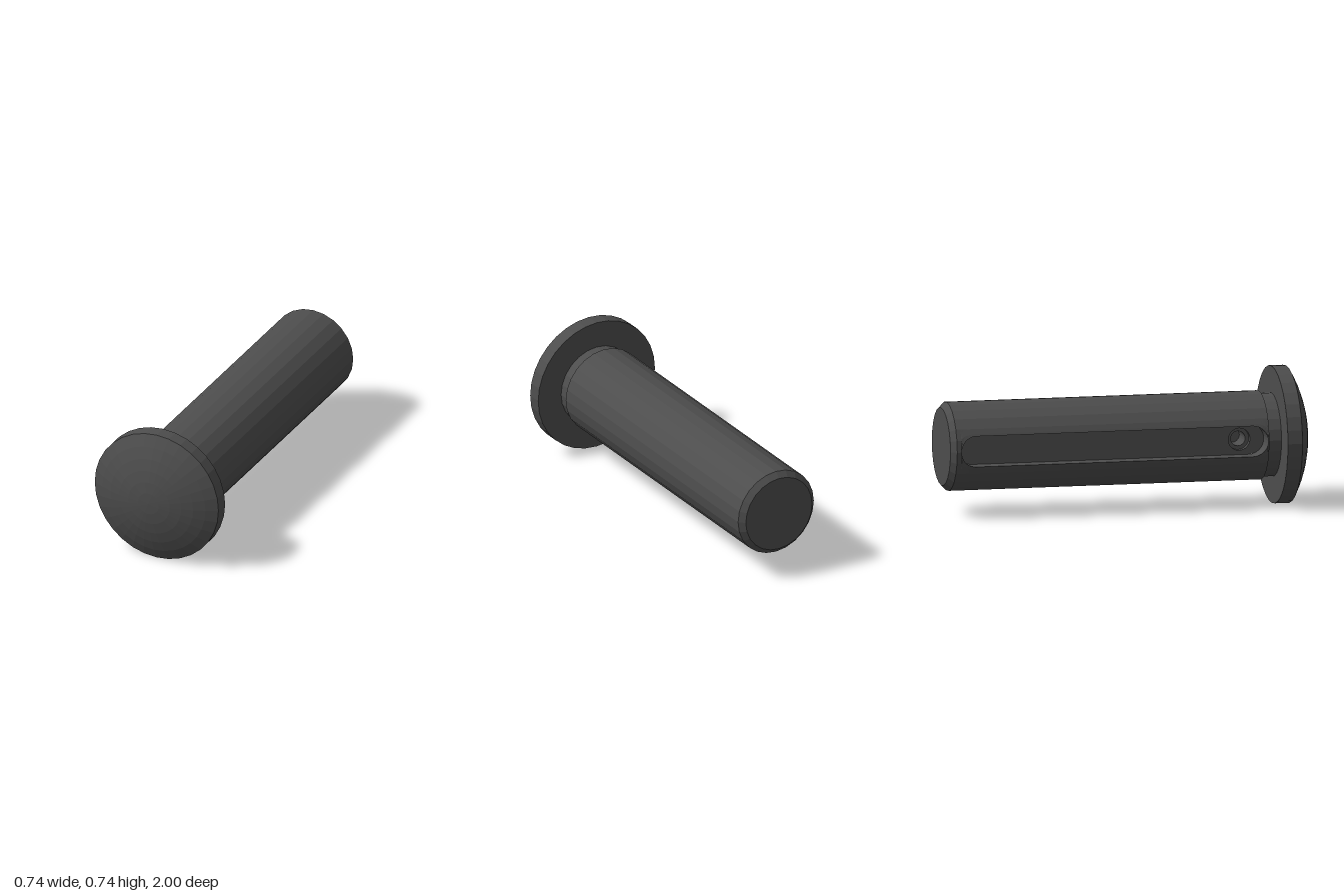
import * as THREE from 'three';

const R = 0.24;        // shank radius
const HEAD_R = 0.37;   // head radius, also the axis height
const SLOT = { back: -0.945, front: 0.745, half: 0.083, floorX: -0.13 };
const HOLE = { z: 0.61, outer: 0.06, inner: 0.04 };

const material = new THREE.MeshStandardMaterial({ color: 0x4d4d4d, flatShading: true });
const openMaterial = material.clone();
openMaterial.side = THREE.DoubleSide;

function addPart(group, name, geometry, mat = material) {
  const flat = geometry.index ? geometry.toNonIndexed() : geometry;
  flat.computeVertexNormals();
  const mesh = new THREE.Mesh(flat, mat);
  mesh.name = name;
  group.add(mesh);
}

// Turned part along z from [radius, z] pairs
function turned(profile, segments) {
  const points = profile.map(([r, z]) => new THREE.Vector2(r, z));
  return new THREE.LatheGeometry(points, segments).rotateX(Math.PI / 2);
}

// Half width of the round-ended slot at a given z
function slotHalf(z) {
  const h = SLOT.half;
  const past = Math.max(SLOT.back + h - z, z - (SLOT.front - h), 0);
  return past >= h ? 0 : Math.sqrt(h * h - past * past);
}

// Cross-section: slot wall, lip, round the shank, lip, slot wall
function shankSection(z) {
  const h = slotHalf(z);
  const lip = Math.asin(h / R);
  const deg = Math.PI / 180;
  const angles = [lip, 15 * deg + lip * 0.4];
  for (let a = 30; a <= 330; a += 15) angles.push(a * deg);
  angles.push(2 * Math.PI - angles[1], 2 * Math.PI - lip);
  const ring = angles.map((t) => [-R * Math.cos(t), R * Math.sin(t), z]);
  return [[SLOT.floorX, h, z], ...ring, [SLOT.floorX, -h, z]];
}

function shankGeometry() {
  const zs = [-0.97];
  const steps = 8;
  for (let i = 0; i <= steps; i++) {
    zs.push(SLOT.back + SLOT.half * (1 - Math.cos((i / steps) * Math.PI / 2)));
  }
  for (let i = 0; i <= steps; i++) {
    zs.push(SLOT.front - SLOT.half * (1 - Math.sin((i / steps) * Math.PI / 2)));
  }
  // Exact closing of the slot ends
  zs[1] = SLOT.back;
  zs[zs.length - 1] = SLOT.front;
  zs.push(0.75);

  const sections = zs.map(shankSection);
  const n = sections[0].length;
  const index = [];
  for (let j = 0; j < zs.length - 1; j++) {
    // Solid ends have no slot walls
    const solid = j === 0 || j === zs.length - 2;
    for (let i = solid ? 1 : 0; i < (solid ? n - 2 : n - 1); i++) {
      const a = j * n + i, b = a + 1, c = a + n, d = c + 1;
      index.push(a, c, b, b, c, d);
    }
  }
  const geometry = new THREE.BufferGeometry();
  geometry.setAttribute('position', new THREE.Float32BufferAttribute(sections.flat(2), 3));
  geometry.setIndex(index);
  return geometry;
}

// Flat slot floor with a round hole, facing -x
function slotFloorGeometry() {
  const { back, front, half, floorX } = SLOT;
  const shape = new THREE.Shape();
  shape.absarc(front - half, 0, half, -Math.PI / 2, Math.PI / 2);
  shape.absarc(back + half, 0, half, Math.PI / 2, Math.PI * 1.5);
  shape.closePath();
  const hole = new THREE.Path();
  hole.absarc(HOLE.z, 0, HOLE.outer, 0, Math.PI * 2, true);
  shape.holes.push(hole);
  return new THREE.ShapeGeometry(shape, 10).rotateY(-Math.PI / 2).translate(floorX, 0, 0);
}

// Stepped blind hole going in from the slot floor
function holeGeometry() {
  const profile = [[HOLE.outer, 0], [HOLE.outer, 0.03], [HOLE.inner, 0.03], [HOLE.inner, 0.16], [0, 0.16]];
  const points = profile.map(([r, d]) => new THREE.Vector2(r, d));
  return new THREE.LatheGeometry(points, 20)
    .rotateZ(-Math.PI / 2)
    .translate(SLOT.floorX, 0, HOLE.z);
}

export function createModel() {
  const model = new THREE.Group();
  model.name = 'slottedPin';

  const pin = new THREE.Group();
  pin.name = 'pin';
  pin.position.y = HEAD_R;
  model.add(pin);

  addPart(pin, 'shank', shankGeometry());
  addPart(pin, 'slotFloor', slotFloorGeometry());
  addPart(pin, 'slotHole', holeGeometry(), openMaterial);
  addPart(pin, 'chamferedEnd', turned([[0, -1], [0.21, -1], [R, -0.97]], 24));
  addPart(pin, 'neck', turned([[R, 0.75], [0.225, 0.75], [0.225, 0.82]], 24));

  // Head: flat rim with a shallow spherical dome
  const head = [[0.2, 0.82], [HEAD_R, 0.82], [HEAD_R, 0.9]];
  const domeR = (HEAD_R ** 2 + 0.1 ** 2) / 0.2;
  const rings = 6;
  for (let i = rings - 1; i >= 0; i--) {
    const r = (HEAD_R * i) / rings;
    head.push([r, 1 - domeR + Math.sqrt(domeR ** 2 - r ** 2)]);
  }
  addPart(pin, 'head', turned(head, 32));

  return model;
}
